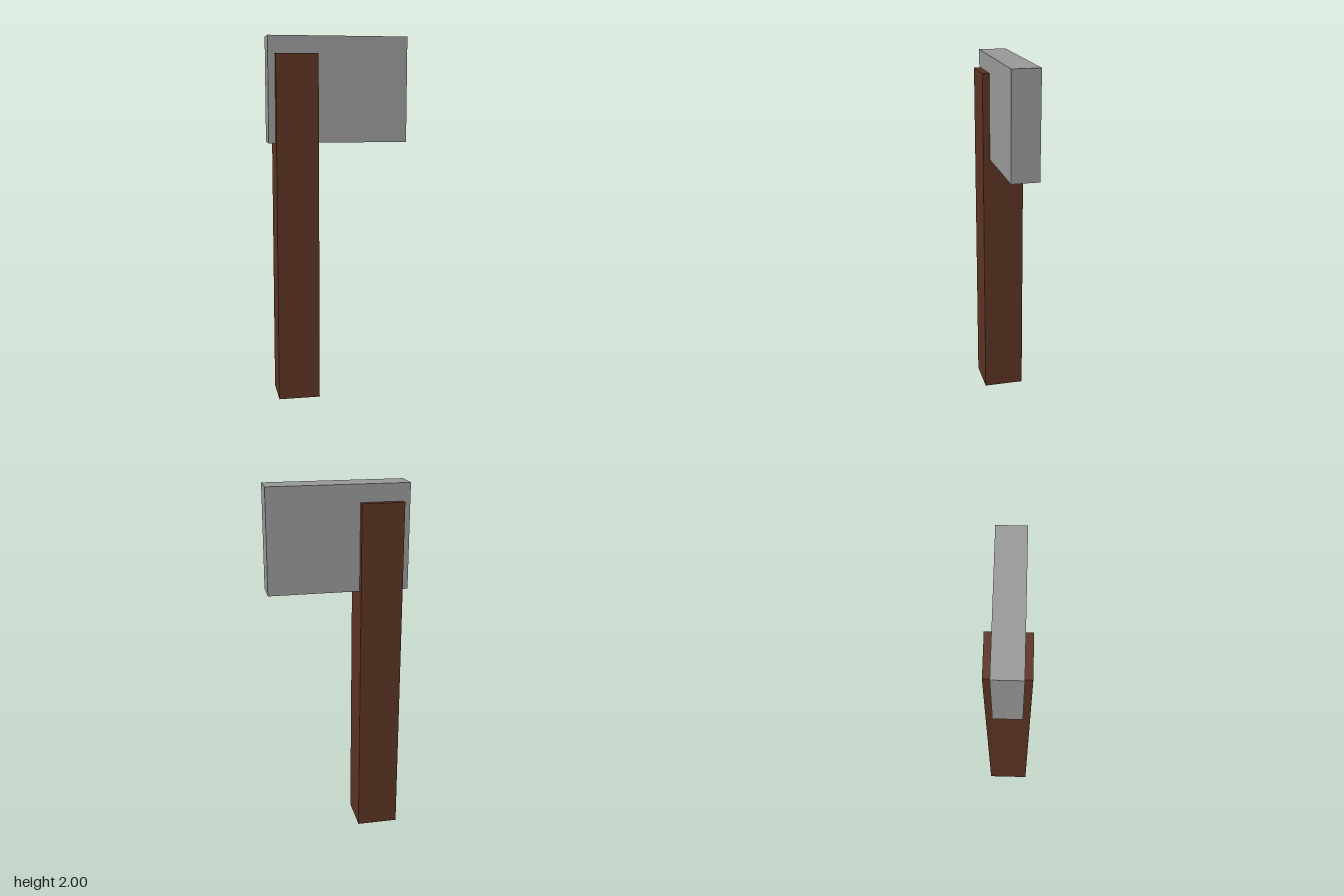
import * as THREE from 'three';

export function createModel() {
  const model = new THREE.Group();
  const wood = new THREE.MeshStandardMaterial({ color: 0x5c3422 });
  wood.name = 'brown wood';
  const steel = new THREE.MeshStandardMaterial({ color: 0x999999 });
  steel.name = 'grey steel';

  // Box given by its extent along x and y, and its depth centred on z = 0
  function addBlock(name, material, [x0, x1], [y0, y1], depth) {
    const mesh = new THREE.Mesh(new THREE.BoxGeometry(x1 - x0, y1 - y0, depth), material);
    mesh.position.set((x0 + x1) / 2, (y0 + y1) / 2, 0);
    mesh.name = name;
    model.add(mesh);
  }

  // Square wooden post
  addBlock('handle', wood, [-0.343, -0.114], [0, 1.905], 0.228);
  // Slab head passing through the top of the handle
  addBlock('axeHead', steel, [-0.381, 0.381], [1.43, 2], 0.152);

  return model;
}
